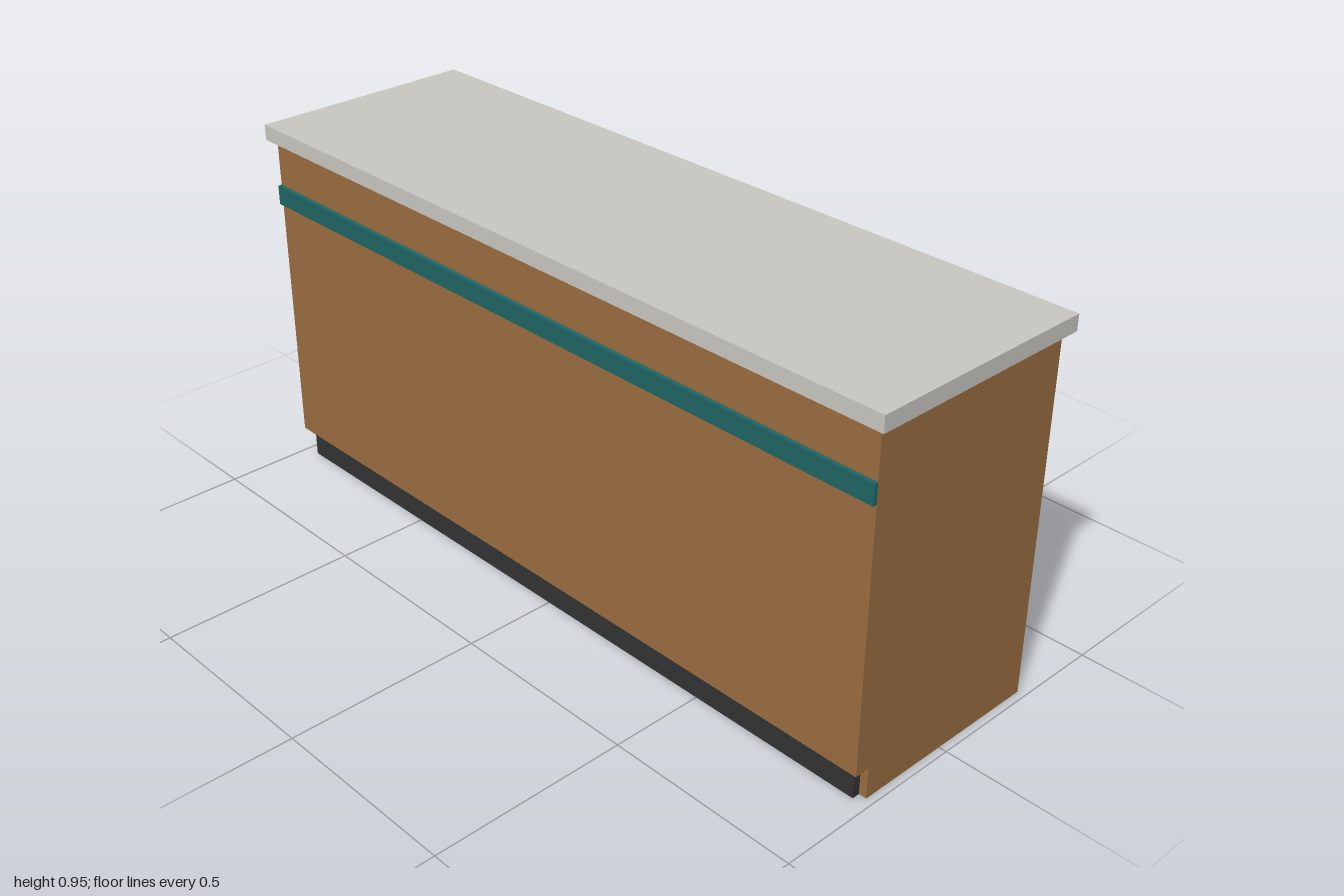
import * as THREE from 'three';

export function createModel() {
  const group = new THREE.Group();
  group.name = 'counter';

  const material = (name, color) => {
    const m = new THREE.MeshStandardMaterial({ color });
    m.name = name;
    return m;
  };
  const wood = material('wood', 0x996d40);
  const stone = material('paleGrey', 0xc9c7c1);
  const teal = material('teal', 0x1f6663);
  const dark = material('charcoal', 0x333333);

  // Box given by its [min, max] extent on each axis
  const box = (name, mat, [x0, x1], [y0, y1], [z0, z1]) => {
    const mesh = new THREE.Mesh(new THREE.BoxGeometry(x1 - x0, y1 - y0, z1 - z0), mat);
    mesh.position.set((x0 + x1) / 2, (y0 + y1) / 2, (z0 + z1) / 2);
    mesh.name = name;
    group.add(mesh);
  };

  // Worktop overhanging the carcass
  box('worktop', stone, [-1, 1], [0.91, 0.95], [-0.3, 0.3]);

  // Carcass: full-width front, two sides, open back
  box('frontPanel', wood, [-0.98, 0.98], [0.08, 0.91], [0.24, 0.28]);
  box('leftSidePanel', wood, [0.95, 0.98], [0, 0.91], [-0.28, 0.24]);
  box('rightSidePanel', wood, [-0.98, -0.95], [0, 0.91], [-0.28, 0.24]);

  // Accent strip across the front
  box('accentStrip', teal, [-0.98, 0.98], [0.74, 0.79], [0.28, 0.29]);

  // Plinth: the body fits between the sides, the kick board stands in front of them
  box('plinth', dark, [-0.95, 0.95], [0, 0.08], [-0.28, 0.24]);
  box('kickBoard', dark, [-0.96, 0.96], [0, 0.08], [0.24, 0.26]);

  // Shelves reached from the back
  box('bottomShelf', stone, [-0.95, 0.95], [0.08, 0.115], [-0.28, 0.24]);
  box('middleShelf', stone, [-0.95, 0.95], [0.455, 0.485], [-0.26, 0.24]);

  return group;
}
